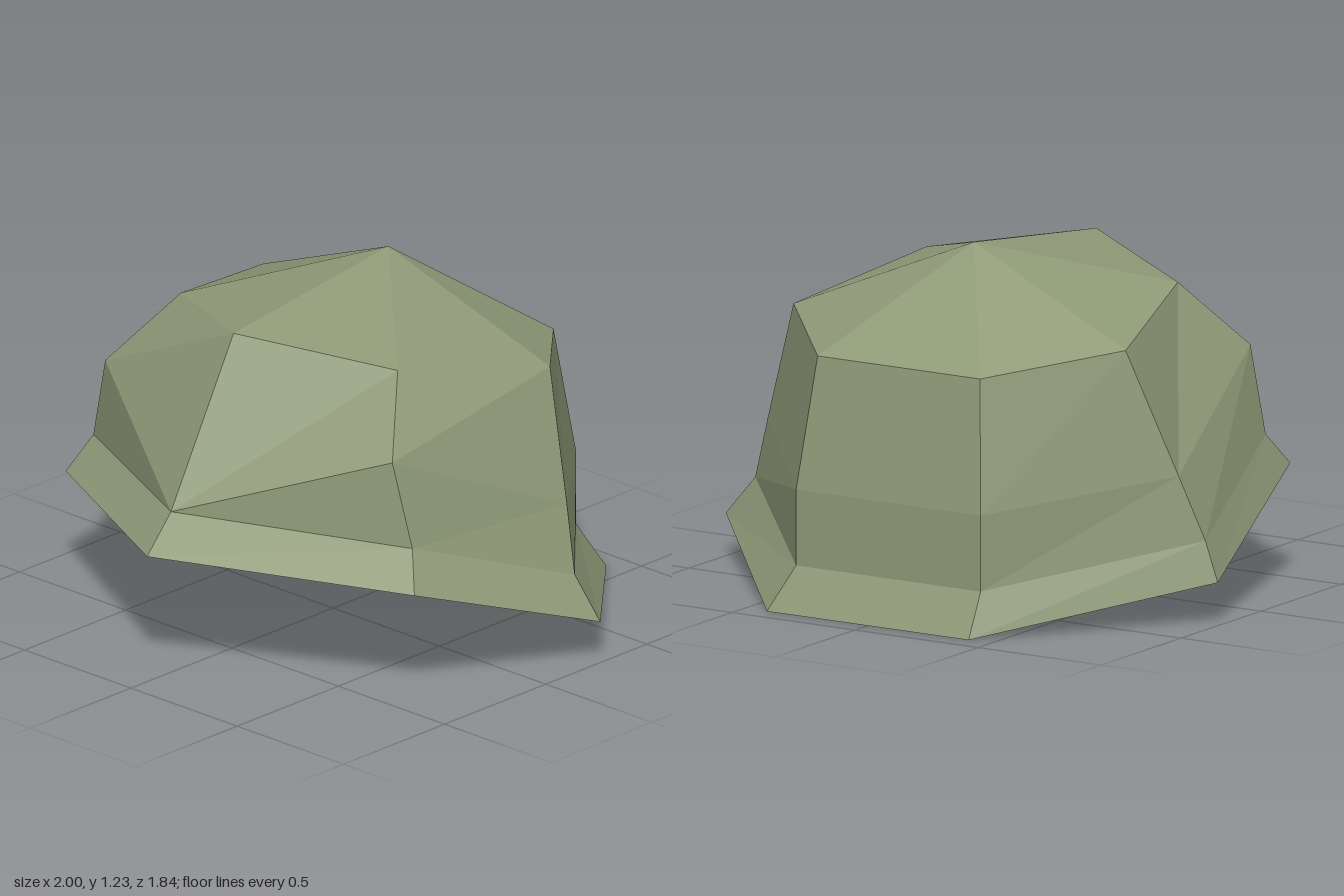
import * as THREE from 'three';

// Seven-point ring from front, front-side, side and back corners [x, y, z], mirrored about cx
function ring(cx, front, ...side) {
  const left = side.map(([x, y, z]) => new THREE.Vector3(cx + x, y, z));
  const right = side.map(([x, y, z]) => new THREE.Vector3(cx - x, y, z)).reverse();
  return [new THREE.Vector3(cx, front[0], front[1]), ...left, ...right];
}

// Faceted band between two rings; collapsed triangles are skipped
function band(lower, upper) {
  const out = [];
  const tri = (a, b, c) => {
    if (a.distanceTo(b) > 1e-4 && b.distanceTo(c) > 1e-4 && c.distanceTo(a) > 1e-4) out.push(a, b, c);
  };
  lower.forEach((a, i) => {
    const j = (i + 1) % lower.length;
    tri(a, lower[j], upper[j]);
    tri(a, upper[j], upper[i]);
  });
  return out;
}

export function createModel() {
  const group = new THREE.Group();
  group.name = 'helmet';

  const olive = new THREE.MeshStandardMaterial({ color: 0x8f9a78, flatShading: true, side: THREE.DoubleSide });
  olive.name = 'olive green';

  const cx = -0.035;
  const rim = ring(0, [0.46, 0.92], [0.82, 0.41, 0.46], [1, 0.15, -0.27], [0.41, 0, -0.92]);
  const brow = ring(cx, [0.57, 0.765], [0.75, 0.525, 0.36], [0.915, 0.29, -0.27], [0.375, 0.155, -0.845]);
  const middle = ring(cx, [0.57, 0.765], [0.675, 0.825, 0.38], [0.835, 0.515, -0.315], [0.375, 0.42, -0.845]);
  const crown = ring(cx, [1.135, 0.455], [0.51, 1.06, 0.18], [0.675, 0.95, -0.4], [0.33, 0.88, -0.78]);
  const apex = crown.map(() => new THREE.Vector3(cx, 1.23, -0.31));

  const add = (name, lower, upper) => {
    const geometry = new THREE.BufferGeometry().setFromPoints(band(lower, upper));
    geometry.computeVertexNormals();
    const mesh = new THREE.Mesh(geometry, olive);
    mesh.name = name;
    group.add(mesh);
  };

  // Open shell, from the flared brim up to the peak
  add('brim', rim, brow);
  add('lowerShell', brow, middle);
  add('upperShell', middle, crown);
  add('crown', crown, apex);

  return group;
}
